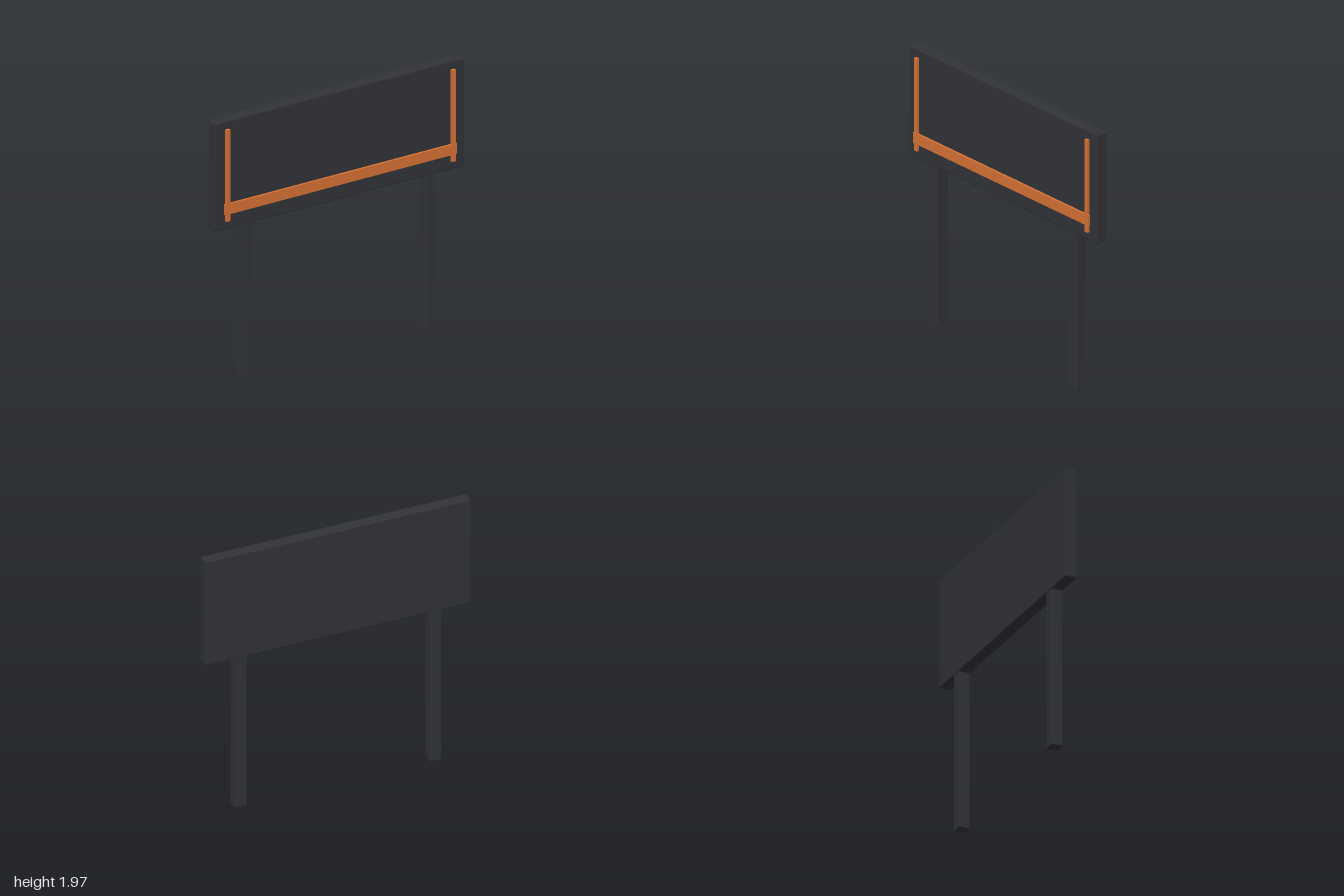
import * as THREE from 'three';
import { RoundedBoxGeometry } from 'three/addons/geometries/RoundedBoxGeometry.js';

export function createModel() {
  const model = new THREE.Group();
  const dark = new THREE.MeshStandardMaterial({ color: 0x323337 });
  const orange = new THREE.MeshStandardMaterial({ color: 0xd87234 });

  // Box given by its min and max corners, with optionally softened edges
  function addBox(name, material, [x0, y0, z0], [x1, y1, z1], radius = 0) {
    const size = [x1 - x0, y1 - y0, z1 - z0];
    const geometry = radius
      ? new RoundedBoxGeometry(...size, 2, radius)
      : new THREE.BoxGeometry(...size);
    const mesh = new THREE.Mesh(geometry, material);
    mesh.name = name;
    mesh.position.set((x0 + x1) / 2, (y0 + y1) / 2, (z0 + z1) / 2);
    model.add(mesh);
  }

  // Wide board
  addBox('panel', dark, [-1, 1.162, -0.054], [1, 1.968, 0.035], 0.01);

  // Horizontal trim across the lower part of the board
  addBox('horizontalTrim', orange, [-0.932, 1.277, 0.039], [0.932, 1.355, 0.0555]);

  // Mirrored legs and vertical trim strips
  for (const [side, s] of [['left', 1], ['right', -1]]) {
    const leg = s * 0.733;
    addBox(side + 'Leg', dark, [leg - 0.043, 0, -0.05], [leg + 0.043, 1.175, 0.034], 0.006);
    const strip = s * 0.906;
    addBox(side + 'VerticalTrim', orange, [strip - 0.016, 1.225, 0.033], [strip + 0.016, 1.907, 0.055]);
  }

  return model;
}
